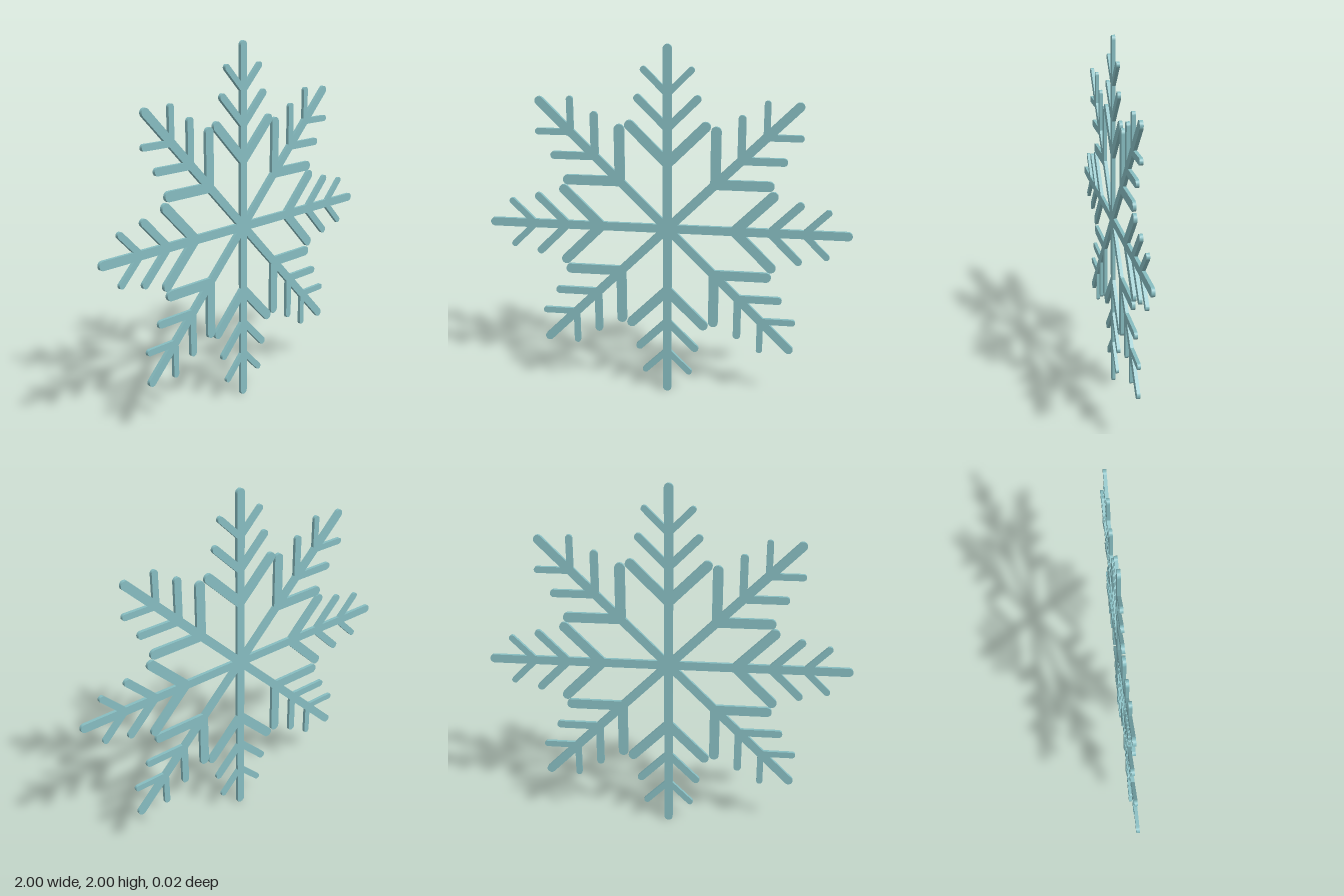
import * as THREE from 'three';

const THICKNESS = 0.018;
const material = new THREE.MeshStandardMaterial({ color: 0x86bcc0 });

// Flat bar with round ends, running up +y from start to end (outer limits)
function bar(name, start, end, width) {
  const r = width / 2;
  const shape = new THREE.Shape();
  shape.absarc(0, end - r, r, 0, Math.PI, false);
  shape.absarc(0, start + r, r, Math.PI, Math.PI * 2, false);
  shape.closePath();
  const geometry = new THREE.ExtrudeGeometry(shape, {
    depth: THICKNESS, bevelEnabled: false, curveSegments: 10,
  });
  geometry.translate(0, 0, -THICKNESS / 2);
  const mesh = new THREE.Mesh(geometry, material);
  mesh.name = name;
  return mesh;
}

// Branch pairs: distance from the centre, length and width
const branches = [
  { name: 'innerBranch', at: 0.368, length: 0.315, width: 0.055 },
  { name: 'middleBranch', at: 0.559, length: 0.245, width: 0.042 },
  { name: 'outerBranch', at: 0.742, length: 0.195, width: 0.035 },
];

// One arm with three pairs of branches at 45 degrees
function makeArm() {
  const arm = new THREE.Group();
  arm.name = 'arm';
  arm.add(bar('spine', -0.024, 1, 0.048));
  for (const { name, at, length, width } of branches) {
    for (const side of [-1, 1]) {
      const branch = bar(name, -width / 2, length, width);
      branch.position.y = at;
      branch.rotation.z = side * Math.PI / 4;
      arm.add(branch);
    }
  }
  return arm;
}

export function createModel() {
  const model = new THREE.Group();
  model.name = 'snowflake';
  // Eight equal arms around the centre
  for (let i = 0; i < 8; i++) {
    const arm = makeArm();
    arm.position.y = 1;
    arm.rotation.z = i * Math.PI / 4;
    model.add(arm);
  }
  return model;
}
